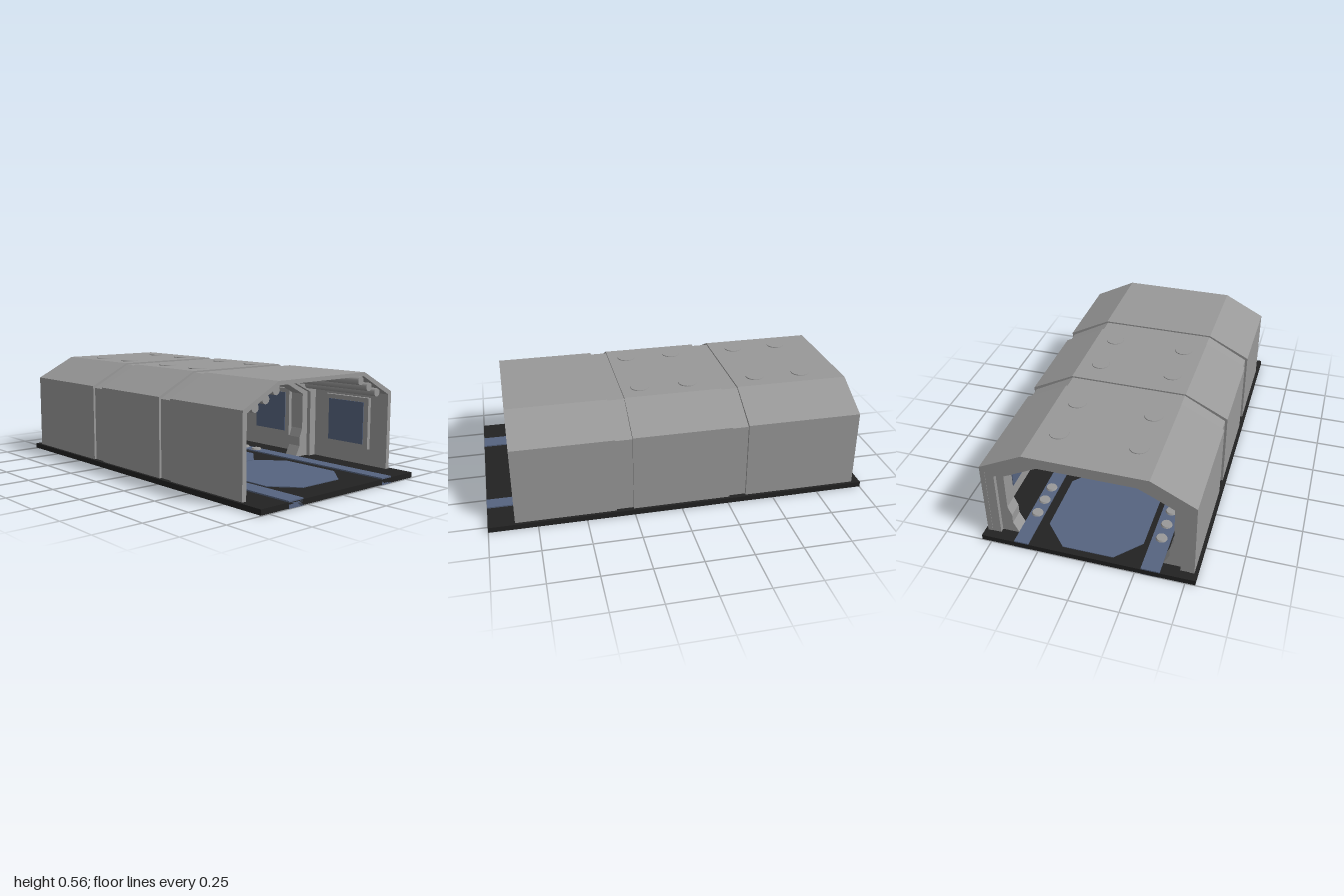
import * as THREE from 'three';

const gray = new THREE.MeshStandardMaterial({ color: 0x999999 });
gray.name = 'hull gray';
const dark = new THREE.MeshStandardMaterial({ color: 0x222222 });
dark.name = 'floor black';
const blue = new THREE.MeshStandardMaterial({ color: 0x566480 });
blue.name = 'steel blue';

export function createModel() {
  const root = new THREE.Group();
  root.name = 'corridor';

  const add = (name, geo, mat, x = 0, y = 0, z = 0) => {
    const m = new THREE.Mesh(geo, mat);
    m.name = name;
    m.position.set(x, y, z);
    root.add(m);
    return m;
  };
  // Box given by its limits on each axis
  const box = (name, mat, x0, x1, y0, y1, z0, z1) =>
    add(name, new THREE.BoxGeometry(x1 - x0, y1 - y0, z1 - z0), mat,
      (x0 + x1) / 2, (y0 + y1) / 2, (z0 + z1) / 2);
  // Mirrored arch between an outer and an inner half profile, both listed from floor to roof
  const arch = (name, outer, inner, z0, z1) => {
    const full = (half) => [
      ...half.map(([x, y]) => new THREE.Vector2(x, y)),
      ...[...half].reverse().map(([x, y]) => new THREE.Vector2(-x, y)),
    ];
    const shape = new THREE.Shape([...full(outer), ...full(inner).reverse()]);
    const geo = new THREE.ExtrudeGeometry(shape, { depth: z1 - z0, bevelEnabled: false });
    return add(name, geo, gray, 0, 0, z0);
  };

  // Floor slab with inlaid rails and octagonal panels, showing on both sides
  box('floor', dark, -0.55, 0.55, 0.002, 0.03, -1, 1);
  box('rightRail', blue, -0.375, -0.28, 0, 0.037, -1, 1);
  box('leftRail', blue, 0.3, 0.375, 0, 0.037, -1, 1);
  const octagon = new THREE.Shape([
    [-0.13, -0.3], [0.13, -0.3], [0.25, -0.17], [0.25, 0.17],
    [0.13, 0.3], [-0.13, 0.3], [-0.25, 0.17], [-0.25, -0.17],
  ].map(([x, y]) => new THREE.Vector2(x, y)));
  for (const z of [0.56, -0.05, -0.665]) {
    const geo = new THREE.ExtrudeGeometry(octagon, { depth: 0.034, bevelEnabled: false });
    geo.rotateX(-Math.PI / 2);
    add('floorPanel', geo, blue, 0, 0, z);
  }

  // Outer shell in three bays, joined by recessed grooves
  const skin = [[0.535, 0.03], [0.535, 0.445], [0.31, 0.56]];
  const recess = [[0.523, 0.03], [0.523, 0.434], [0.306, 0.552]];
  const lining = [[0.51, 0.03], [0.51, 0.43], [0.302, 0.54]];
  arch('frontShell', skin, lining, 0.345, 0.865);
  arch('middleShell', skin, lining, -0.26, 0.255);
  arch('backShell', skin, lining, -0.955, -0.35);
  arch('groove', recess, lining, 0.255, 0.345);
  arch('groove', recess, lining, -0.35, -0.26);

  // Stepped inner ribs with splayed feet
  const ribOuter = [[0.516, 0.03], [0.516, 0.432], [0.304, 0.546]];
  const ribStep = [[0.465, 0.03], [0.465, 0.4], [0.25, 0.502]];
  const ribInner = [
    [0.375, 0.03], [0.405, 0.09], [0.405, 0.14], [0.425, 0.19], [0.425, 0.39], [0.24, 0.485],
  ];
  for (const z of [0.3, -0.305, -0.89]) {
    arch('ribBase', ribOuter, ribStep, z - 0.063, z + 0.063);
    arch('rib', ribOuter, ribInner, z - 0.04, z + 0.04);
  }

  // Pipes along both ceiling slopes
  for (const side of [-1, 1]) {
    for (const [x, y] of [[0.44, 0.445], [0.373, 0.478], [0.306, 0.514]]) {
      const geo = new THREE.CylinderGeometry(0.022, 0.022, 1.78, 20);
      geo.rotateX(Math.PI / 2);
      add('ceilingPipe', geo, gray, side * x, y, -0.045);
    }
  }

  const bays = [0.605, 0.025, -0.61];
  bays.forEach((zc, i) => {
    // Ceiling plate and lamp rings
    box('ceilingPlate', gray, -0.125, 0.125, 0.532, 0.541, zc - 0.13, zc + 0.13);
    for (const x of [-0.2, 0.2]) {
      for (const dz of [-0.13, 0.13]) {
        const ring = new THREE.TorusGeometry(0.038, 0.008, 8, 24);
        ring.rotateX(Math.PI / 2);
        add('lampRing', ring, gray, x, 0.537, zc + dz);
        // Low roof caps on the rear two bays
        if (i > 0) {
          add('roofCap', new THREE.CylinderGeometry(0.048, 0.05, 0.01, 24), gray, x, 0.559, zc + dz);
        }
      }
    }

    // Right wall: framed locker with three bays
    const z0 = zc + 0.02, z1 = zc + 0.21;
    for (let k = 0; k < 4; k++) {
      const y = 0.09 + k * 0.095;
      box('lockerBar', gray, -0.512, -0.496, y, y + 0.015, z0, z1);
    }
    for (const z of [z0, z1 - 0.015]) {
      box('lockerPost', gray, -0.512, -0.496, 0.09, 0.39, z, z + 0.015);
    }

    // Right wall: two stacks of bars on mounting plates
    for (const y of [0.147, 0.327]) {
      box('barMount', gray, -0.512, -0.5, y - 0.055, y + 0.058, zc - 0.2, zc - 0.04);
      for (const z of [zc - 0.16, zc - 0.09]) {
        box('barClamp', gray, -0.505, -0.466, y - 0.05, y + 0.05, z, z + 0.012);
      }
      for (const dy of [-0.038, 0, 0.038]) {
        const bar = new THREE.CapsuleGeometry(0.012, 0.11, 6, 14);
        bar.rotateX(Math.PI / 2);
        add('wallBar', bar, gray, -0.485, y + dy, zc - 0.12);
      }
    }

    // Left wall: service panel with an inset face
    box('servicePanel', gray, 0.488, 0.512, 0.12, 0.4, zc - 0.15, zc + 0.15);
    box('servicePanelFace', blue, 0.484, 0.489, 0.145, 0.375, zc - 0.12, zc + 0.12);

    // Studs on the rails
    if (i > 0) {
      for (const x of [-0.327, 0.338]) {
        for (const dz of [-0.1, 0, 0.1]) {
          add('railStud', new THREE.CylinderGeometry(0.026, 0.032, 0.012, 16), gray, x, 0.04, zc - 0.07 + dz);
        }
      }
    }
  });

  return root;
}
